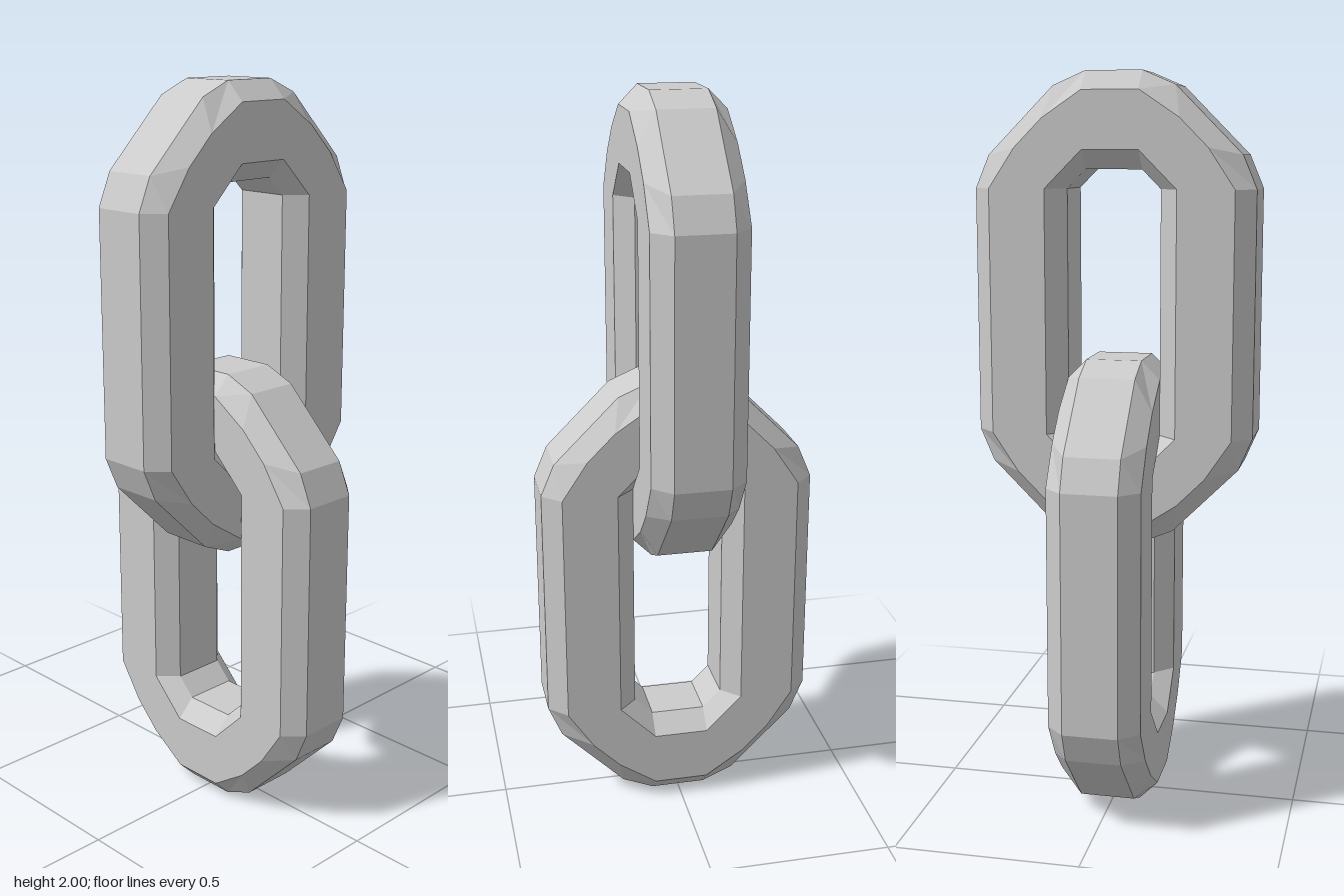
import * as THREE from 'three';

// One quarter of a link: four [x, y] stations for each edge line of the chamfered section
const outer = [[0.375, 0.075], [0.338, 0.162], [0.162, 0.338], [0.075, 0.375]];
const outerFace = [[0.325, 0.075], [0.255, 0.18], [0.18, 0.255], [0.075, 0.325]];
const innerFace = [[0.175, 0.075], [0.142, 0.108], [0.108, 0.142], [0.075, 0.175]];
const inner = [[0.125, 0.075], [0.108, 0.092], [0.092, 0.108], [0.075, 0.125]];

// Edge lines in order around the section, with their depth
const section = [
  [outer, 0.075], [outerFace, 0.125], [innerFace, 0.125], [inner, 0.075],
  [inner, -0.075], [innerFace, -0.125], [outerFace, -0.125], [outer, -0.075],
];
const CORNER_OFFSET = 0.25; // height of the corner centres from the link's middle

function linkGeometry() {
  const positions = [];
  const index = [];

  // Mirror the quarter into four corners, counter-clockwise
  for (const [sx, sy] of [[1, 1], [-1, 1], [-1, -1], [1, -1]]) {
    for (let i = 0; i < 4; i++) {
      const k = sx * sy > 0 ? i : 3 - i;
      for (const [line, z] of section) {
        positions.push(sx * line[k][0], sy * (line[k][1] + CORNER_OFFSET), z);
      }
    }
  }

  // Join neighbouring cross-sections into a closed ring
  const sides = section.length;
  const stations = 16;
  for (let s = 0; s < stations; s++) {
    const s2 = (s + 1) % stations;
    for (let p = 0; p < sides; p++) {
      const p2 = (p + 1) % sides;
      const a = s * sides + p, b = s2 * sides + p;
      const c = s2 * sides + p2, d = s * sides + p2;
      index.push(a, b, c, a, c, d);
    }
  }

  const geometry = new THREE.BufferGeometry();
  geometry.setAttribute('position', new THREE.Float32BufferAttribute(positions, 3));
  geometry.setIndex(index);
  const faceted = geometry.toNonIndexed();
  faceted.computeVertexNormals();
  return faceted;
}

export function createModel() {
  const chain = new THREE.Group();
  chain.name = 'chain';
  const material = new THREE.MeshStandardMaterial({ color: 0xcccccc, flatShading: true });
  const geometry = linkGeometry();

  // Upper link faces the front, lower link is turned a quarter and hooks through it
  const upper = new THREE.Mesh(geometry, material);
  upper.name = 'upperLink';
  upper.position.y = 1.375;

  const lower = new THREE.Mesh(geometry, material);
  lower.name = 'lowerLink';
  lower.position.y = 0.625;
  lower.rotation.y = Math.PI / 2;

  chain.add(upper, lower);
  return chain;
}
